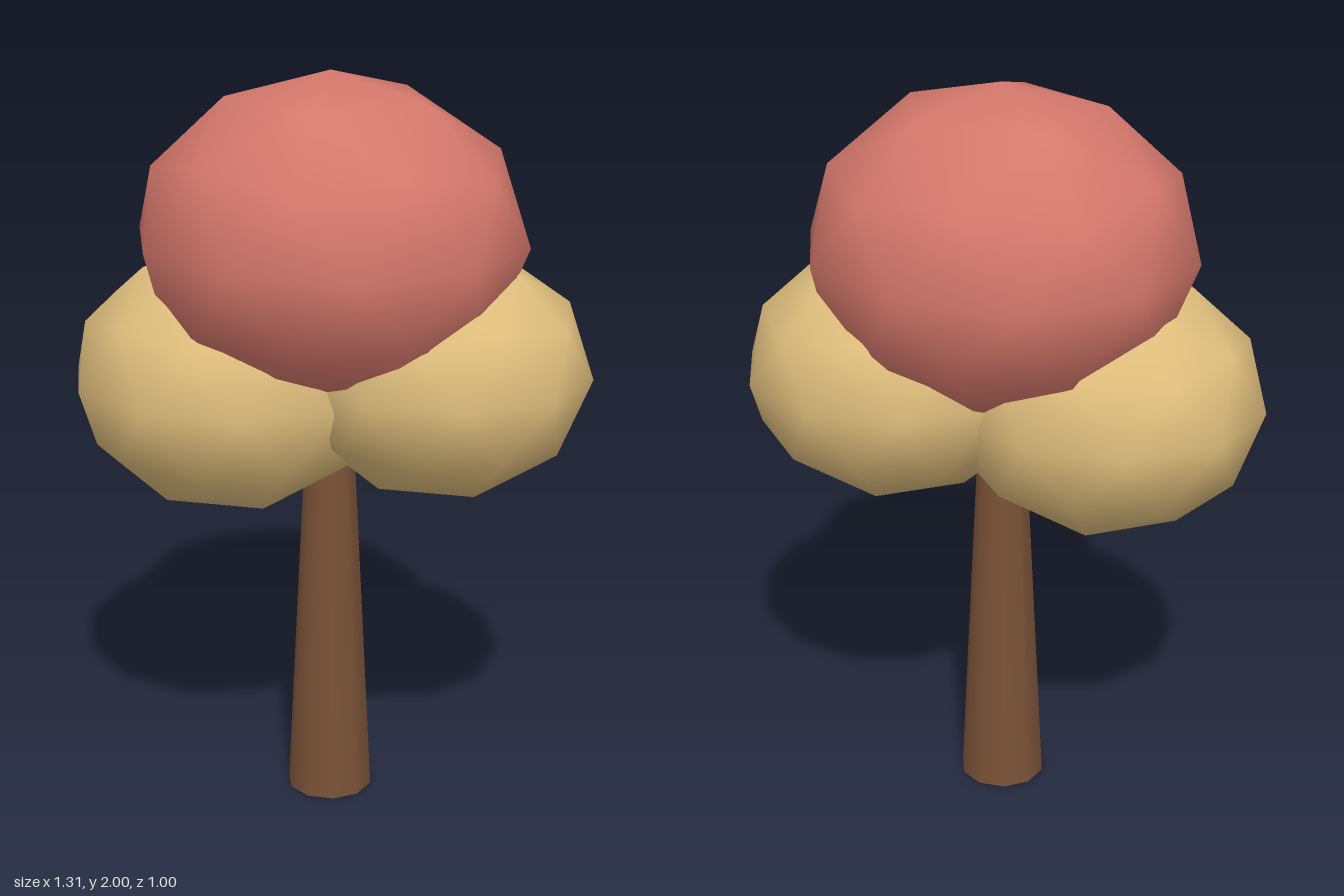
import * as THREE from 'three';

const material = (name, color) => {
  const m = new THREE.MeshStandardMaterial({ color });
  m.name = name;
  return m;
};

// Smooth 80-sided ball with a vertex at each pole and a ten-sided equator
function leafBall(rx, ry, rz) {
  const ring = (y, offset) => Array.from({ length: 5 }, (_, k) => {
    const a = (k * 2 + offset) * Math.PI / 5, r = Math.sqrt(0.8);
    return [r * Math.cos(a), y, -r * Math.sin(a)];
  }).flat();
  const h = Math.sqrt(0.2);
  const corners = [0, 1, 0, ...ring(h, 0), ...ring(-h, 1), 0, -1, 0];
  const faces = [];
  for (let k = 0; k < 5; k++) {
    const n = (k + 1) % 5;
    const u = 1 + k, u2 = 1 + n, l = 6 + k, l2 = 6 + n;
    faces.push(0, u, u2, u, l, u2, l, l2, u2, 11, l2, l);
  }
  return new THREE.PolyhedronGeometry(corners, faces, 1, 1).scale(rx, ry, rz);
}

export function createModel() {
  const tree = new THREE.Group();
  tree.name = 'tree';
  const bark = material('bark brown', 0x7a5238);
  const gold = material('golden leaves', 0xdfbe7d);
  const coral = material('coral leaves', 0xd5786c);

  const add = (name, geometry, mat, x, y, z) => {
    const mesh = new THREE.Mesh(geometry, mat);
    mesh.name = name;
    mesh.position.set(x, y, z);
    tree.add(mesh);
  };

  // Tapered ten-sided trunk with its top hidden in the leaves
  add('trunk', new THREE.CylinderGeometry(0.058, 0.118, 1.2, 10), bark, 0.006, 0.6, 0.003);

  // Three overlapping clumps of leaves
  add('crownTop', leafBall(0.523, 0.43, 0.492), coral, 0.007, 1.57, 0);
  add('crownLeft', leafBall(0.41, 0.337, 0.386), gold, 0.265, 1.225, -0.117);
  add('crownRight', leafBall(0.431, 0.355, 0.405), gold, -0.25, 1.18, 0.095);

  return tree;
}
